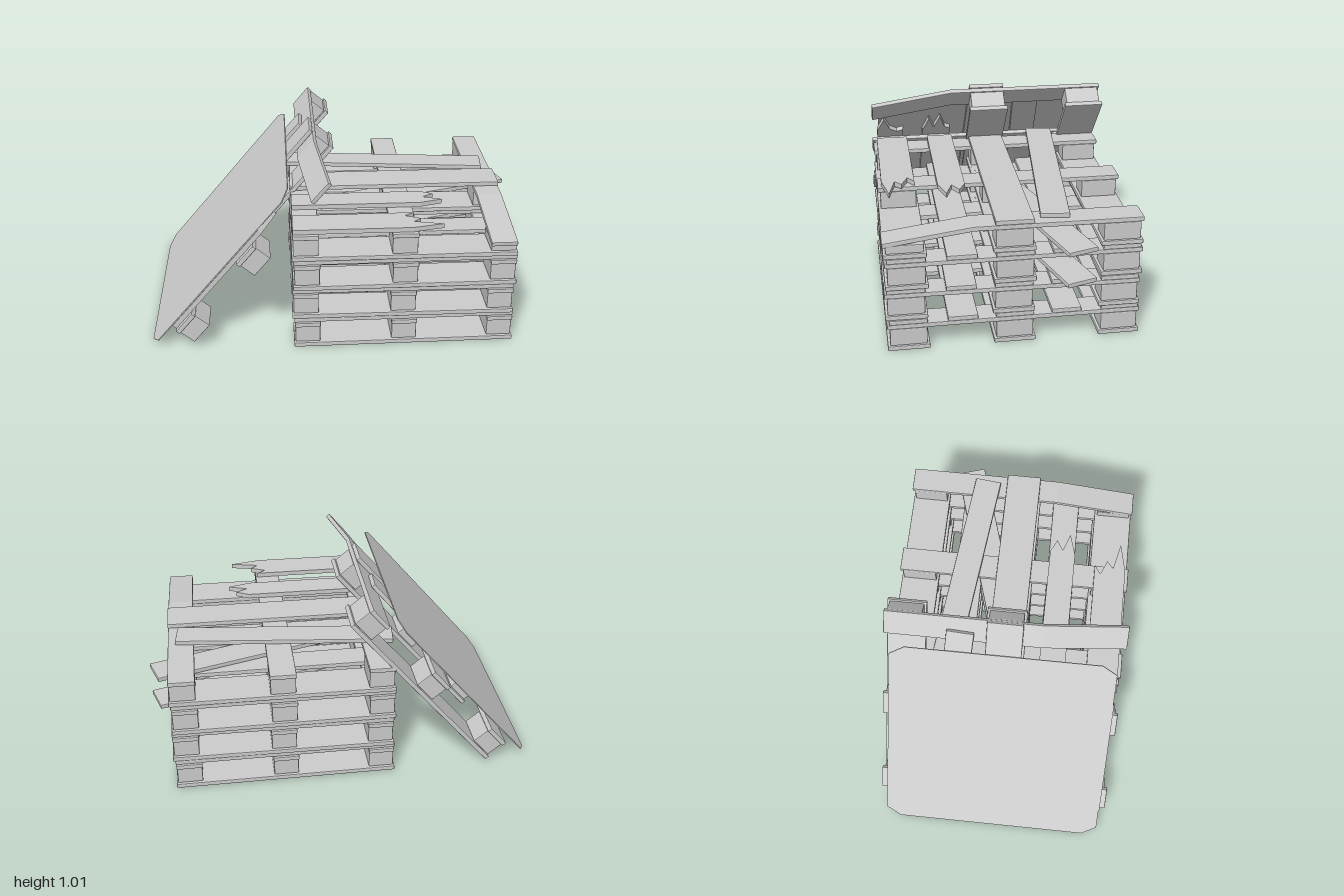
import * as THREE from 'three';
import { RoundedBoxGeometry } from 'three/addons/geometries/RoundedBoxGeometry.js';

const wood = new THREE.MeshStandardMaterial({ color: 0xcccccc, flatShading: true });
const T = 0.025;          // board thickness
const BLOCK = 0.094;      // block height
const H = 3 * T + BLOCK;  // pallet height
const XS = [-0.505, 0, 0.505];
const ZS = [-0.53, 0, 0.53];
const DECK = [[-0.53, 0.19], [-0.26, 0.15], [0, 0.19], [0.26, 0.15], [0.53, 0.19]];

// Slightly chamfered timber, y is its underside
function timber(parent, name, w, h, d, x, y, z, yaw = 0) {
  const mesh = new THREE.Mesh(new RoundedBoxGeometry(w, h, d, 1, 0.005), wood);
  mesh.name = name;
  mesh.position.set(x, y + h / 2, z);
  mesh.rotation.y = yaw;
  parent.add(mesh);
  return mesh;
}

// Flat plate from an outline of [x, z] points, y is its underside
function plate(parent, name, outline, h, y) {
  const shape = new THREE.Shape(outline.map(([x, z]) => new THREE.Vector2(x, z)));
  const geo = new THREE.ExtrudeGeometry(shape, { depth: h, bevelEnabled: false });
  geo.rotateX(Math.PI / 2);
  const mesh = new THREE.Mesh(geo, wood);
  mesh.name = name;
  mesh.position.y = y + h;
  parent.add(mesh);
}

// Snapped board: straight at x0, zigzag teeth at the other end
function brokenBoard(parent, z, width, x0, teeth, y) {
  const n = teeth.length - 1;
  const end = teeth.map((x, i) => [x, z - width / 2 + (width * i) / n]);
  plate(parent, 'brokenDeckBoard', [[x0, z - width / 2], ...end, [x0, z + width / 2]], T, y);
}

// Stringer across the blocks; bend is the sideways drop of its front end
function stringer(parent, x, y, bend) {
  if (!bend) {
    timber(parent, 'stringer', 0.135, T, 1.27, x, y, 0);
    return;
  }
  timber(parent, 'stringer', 0.135, T, 0.84, x, y, -0.215);
  const end = timber(parent, 'bentStringerEnd', 0.135, T, 0.45, x, y - bend / 2, 0.415);
  end.rotation.x = Math.atan2(bend, 0.43);
}

// Pallet with lists of which deck boards, runners and blocks remain
function pallet(name, { decks = [0, 1, 2, 3, 4], runners = [0, 1, 2], block = () => BLOCK, bends = [0, 0, 0] } = {}) {
  const g = new THREE.Group();
  g.name = name;
  for (const i of runners) timber(g, 'runner', 1.155, T, 0.21, 0, 0, ZS[i]);
  XS.forEach((x, i) => {
    ZS.forEach((z, j) => {
      const h = block(i, j);
      if (h) timber(g, 'block', 0.13, h, 0.185, x, T, z);
    });
    stringer(g, x, T + BLOCK, bends[i]);
  });
  for (const i of decks) timber(g, 'deckBoard', 1.15, T, DECK[i][1], 0, H - T, DECK[i][0]);
  return g;
}

export function createModel() {
  const model = new THREE.Group();
  model.name = 'palletPile';

  // Stack of four, each turned a touch
  const stack = new THREE.Group();
  stack.name = 'palletStack';
  model.add(stack);
  const yaws = [0.006, -0.006, 0.005, -0.003];
  yaws.forEach((yaw, i) => {
    const top = i === 3;
    const p = pallet(top ? 'topPallet' : 'stackedPallet', top ? {
      decks: [2],
      bends: [0, 0, 0.06],
      block: (a, b) => (a === 2 && b === 2 ? 0.045 : BLOCK),
    } : {});
    p.position.set(0.315, i * H, 0);
    p.rotation.y = yaw;
    stack.add(p);
    if (top) {
      // Damaged upper deck
      const y = H - T;
      brokenBoard(p, 0.53, 0.17, -0.57, [0.06, 0.01, 0.09, 0.05, 0.2, 0.04], y);
      brokenBoard(p, 0.26, 0.14, -0.57, [0.12, 0.19, 0.13, 0.23, 0.11], y);
      timber(p, 'skewedDeckBoard', 1.14, T, 0.145, -0.04, y, -0.262, -0.105);
    }
  });
  // Loose boards slipped between the pallets
  for (const level of [2, 3]) {
    timber(stack, 'looseBoard', 1.15, T, 0.16, 0.42, level * H + 0.002, -0.15, 0.3);
  }

  // Damaged pallet leaning against the stack
  const lean = pallet('leaningPallet', {
    decks: [2],
    runners: [0, 1],
    bends: [0, 0, 0.07],
    block: (a, b) => (a === 2 && b === 2 ? 0 : BLOCK),
  });
  brokenBoard(lean, 0.53, 0.15, -0.57, [0.14, 0.12, 0.15, 0.26, 0.14], H - T);
  brokenBoard(lean, 0.26, 0.16, -0.57, [0.13, 0.15, 0.27, 0.15, 0.25, 0.12], H - T);
  timber(lean, 'skewedDeckBoard', 1.14, T, 0.145, -0.07, H - T, -0.265, -0.06);
  // Thin sheet with cut corners lying on its deck
  const [a, b, c, d, w, k] = [-0.744, -0.69, 0.335, 0.384, 0.6, 0.52];
  plate(lean, 'coverSheet', [[a, -k], [b, -w], [c, -w], [d, -k], [d, k], [c, w], [b, w], [a, k]], 0.005, H);
  lean.position.set(-0.392, 0.461, 0);
  lean.rotation.z = 0.869;
  model.add(lean);

  return model;
}
